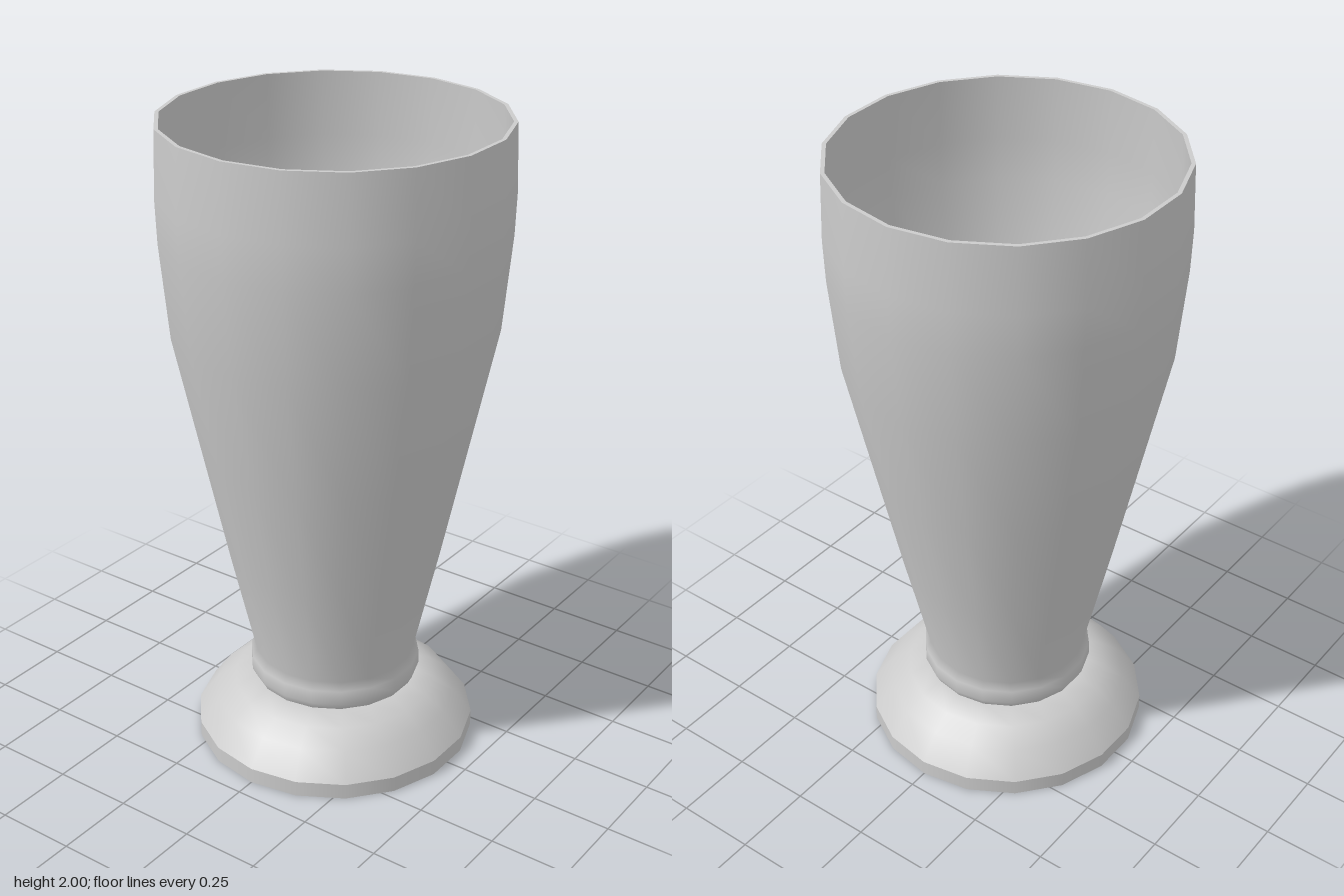
import * as THREE from 'three';

const SIDES = 18;

// Turn a [radius, height] profile around y, with a corner on the x axis.
// Profiles climb on outer surfaces and descend on inner ones.
function turned(name, profile, flat = false) {
  const points = profile.map(([r, y]) => new THREE.Vector2(r, y));
  const geometry = new THREE.LatheGeometry(points, SIDES, Math.PI / 2);
  const material = new THREE.MeshStandardMaterial({
    color: 0xcccccc, flatShading: flat, side: THREE.DoubleSide,
  });
  const mesh = new THREE.Mesh(geometry, material);
  mesh.name = name;
  return mesh;
}

export function createModel() {
  const group = new THREE.Group();
  group.name = 'footedGlass';

  // Foot: flat underside, short edge and domed top
  group.add(turned('footUnderside', [[0, 0], [0.44, 0]], true));
  group.add(turned('footEdge', [[0.44, 0], [0.44, 0.05]]));
  group.add(turned('footDome', [[0.44, 0.05], [0.38, 0.13], [0.32, 0.172], [0.255, 0.2], [0, 0.2]]));

  // Outer wall, with the small collar at its foot
  group.add(turned('outerWall', [
    [0.255, 0.2], [0.268, 0.225], [0.267, 0.27], [0.252, 0.295],
    [0.327, 0.63], [0.405, 1.0], [0.485, 1.38], [0.511, 1.67], [0.515, 1.8], [0.508, 2],
  ]));

  // Flat rim and inner wall
  group.add(turned('rim', [[0.508, 2], [0.496, 2]], true));
  group.add(turned('innerWall', [
    [0.496, 2], [0.503, 1.8], [0.499, 1.67], [0.473, 1.38], [0.393, 1.0], [0.322, 0.67],
  ]));

  // Faceted bowl closing the inside
  group.add(turned('innerBowl', [
    [0.322, 0.67], [0.27, 0.46], [0.21, 0.36], [0.11, 0.31], [0, 0.31],
  ], true));

  return group;
}
